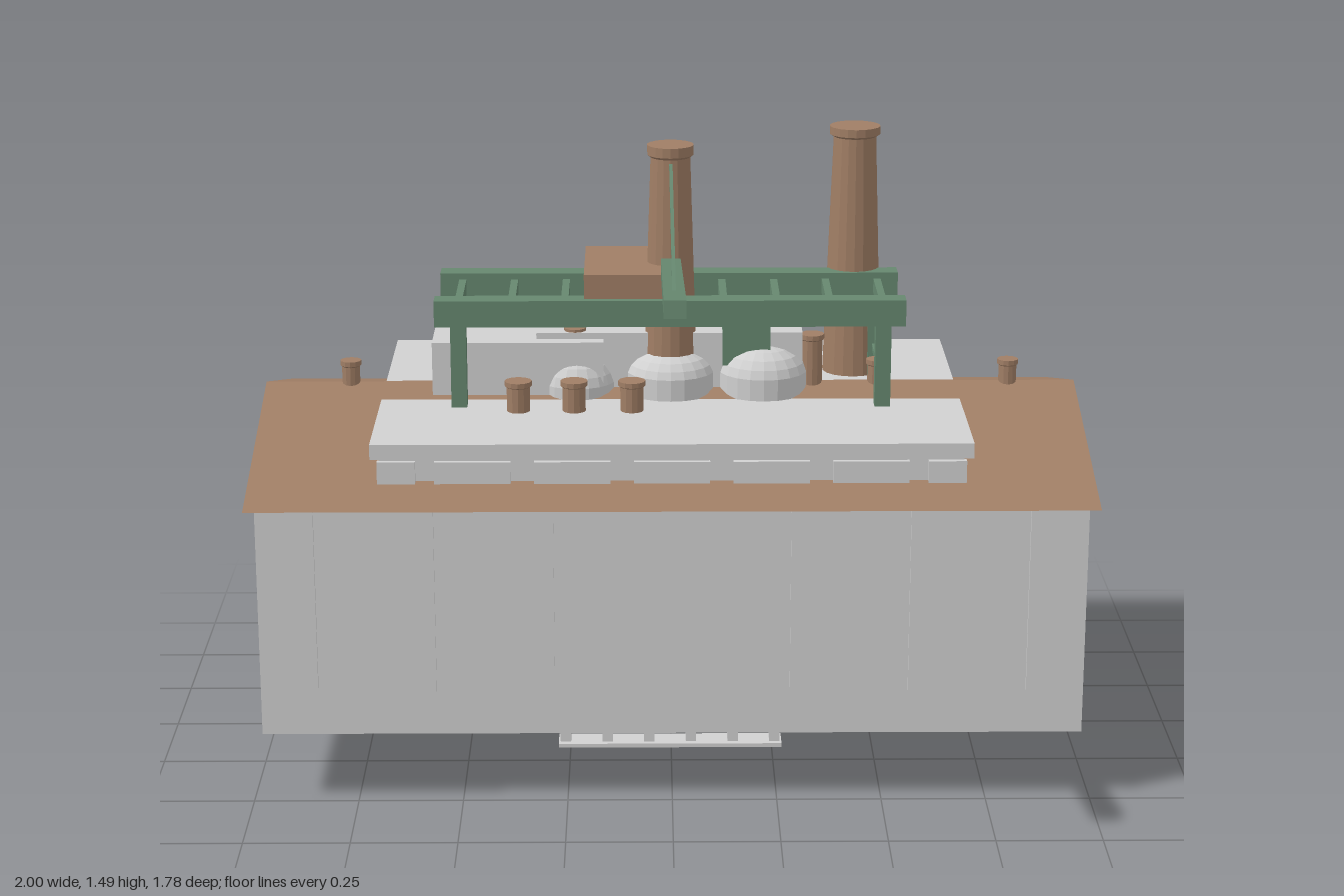
import * as THREE from 'three';

const brown = new THREE.MeshStandardMaterial({ color: 0xa07e65 });
brown.name = 'brown';
const grey = new THREE.MeshStandardMaterial({ color: 0xd0d0d0 });
grey.name = 'pale grey';
const green = new THREE.MeshStandardMaterial({ color: 0x66876f });
green.name = 'green';

export function createModel() {
  const group = new THREE.Group();
  const RIDGE = -0.31;

  const add = (name, geometry, material) => {
    const mesh = new THREE.Mesh(geometry, material);
    mesh.name = name;
    group.add(mesh);
    return mesh;
  };
  // Box given by its limits on each axis
  const box = (name, mat, x0, x1, y0, y1, z0, z1) => {
    const m = add(name, new THREE.BoxGeometry(x1 - x0, y1 - y0, z1 - z0), mat);
    m.position.set((x0 + x1) / 2, (y0 + y1) / 2, (z0 + z1) / 2);
    return m;
  };
  // Bar in the yz plane from one point to another
  const bar = (name, mat, x, y0, z0, y1, z1, w, h) => {
    const m = add(name, new THREE.BoxGeometry(w, h, Math.hypot(y1 - y0, z1 - z0)), mat);
    m.position.set(x, (y0 + y1) / 2, (z0 + z1) / 2);
    m.rotation.x = -Math.atan2(y1 - y0, z1 - z0);
    return m;
  };
  // Turned part from radius and height pairs
  const turned = (name, mat, x, z, profile, sides = 18) => {
    const points = profile.map(([r, y]) => new THREE.Vector2(r, y));
    const geometry = new THREE.LatheGeometry(points, sides).toNonIndexed();
    geometry.computeVertexNormals();
    const m = add(name, geometry, mat);
    m.position.set(x, 0, z);
    return m;
  };

  // Main hall with thin ribs on the front wall
  box('hall', grey, -0.975, 0.975, 0.17, 0.73, -0.865, 0.245);
  for (let i = -3; i <= 3; i++) {
    box('wallRib', grey, i * 0.28 - 0.002, i * 0.28 + 0.002, 0.28, 0.73, 0.24, 0.254);
  }

  // Gable roof
  const gable = new THREE.Shape();
  gable.moveTo(-0.265, 0.73);
  gable.lineTo(0.89, 0.73);
  gable.lineTo(-RIDGE, 0.885);
  gable.closePath();
  const roofGeometry = new THREE.ExtrudeGeometry(gable, { depth: 2, bevelEnabled: false });
  roofGeometry.rotateY(Math.PI / 2);
  roofGeometry.translate(-1, 0, 0);
  add('roof', roofGeometry, brown);

  // Roof deck with a panelled wall below it
  box('deck', grey, -0.71, 0.71, 0.825, 0.862, -0.79, 0.16);
  box('deckWall', grey, -0.69, 0.69, 0.74, 0.826, -0.77, 0.135);
  for (let i = -2; i <= 2; i++) {
    box('deckPanel', grey, i * 0.235 - 0.09, i * 0.235 + 0.09, 0.76, 0.815, 0.13, 0.148);
  }
  for (const s of [-1, 1]) {
    box('deckEndPanel', grey, s * 0.65 - 0.045, s * 0.65 + 0.045, 0.76, 0.815, 0.13, 0.148);
  }

  // Large chimney and crane chimney
  turned('tallChimney', brown, 0.46, -0.5, [[0, 0.78], [0.076, 0.78], [0.074, 0.86], [0.053, 1.462], [0.063, 1.468], [0.063, 1.488], [0, 1.488]]);
  turned('midChimney', brown, 0, RIDGE, [[0, 0.85], [0.068, 0.85], [0.049, 1.45], [0.057, 1.456], [0.057, 1.48], [0, 1.48]]);

  // Roof vents
  const vent = (x, z, r, top) => turned('vent', brown, x, z,
    [[0, 0.82], [r * 0.85, 0.82], [r * 0.85, top - 0.015], [r, top - 0.012], [r, top], [0, top]], 12);
  for (const x of [-0.79, 0.51, 0.835]) vent(x, RIDGE, 0.026, 0.94);
  for (const x of [-0.37, -0.235, -0.095]) vent(x, -0.127, 0.033, 0.937);
  vent(0.23, -0.475, 0.038, 1.02);
  vent(-0.235, RIDGE, 0.027, 1.022);
  vent(0.35, RIDGE, 0.03, 1.005);

  // Domed tanks and plant boxes
  for (const [x, r, drum, top] of [[-0.23, 0.095, 0.89, 0.965], [0, 0.11, 0.915, 0.975], [0.228, 0.11, 0.915, 0.985]]) {
    const profile = [[r, 0.855], [r, drum]];
    for (let i = 1; i <= 5; i++) {
      const a = (i / 5) * Math.PI / 2;
      profile.push([r * Math.cos(a) * 0.97, drum + (top - drum) * Math.sin(a)]);
    }
    turned('dome', grey, x, RIDGE, profile, 20);
  }
  box('plantBox', grey, -0.585, -0.165, 0.85, 1.0, -0.57, -0.245);
  box('ductBox', grey, -0.33, 0.325, 0.85, 1.015, -0.355, -0.28);

  // Crane gantry
  const beams = [[-0.484, -0.427], [-0.202, -0.147]];
  for (const [z0, z1] of beams) {
    box('gantryBeam', green, -0.572, 0.568, 1.065, 1.13, z0, z1);
    for (const s of [-1, 1]) {
      box('gantryLeg', green, s * 0.515 - 0.019, s * 0.515 + 0.019, 0.82, 1.066, z0 + 0.008, z1 - 0.008);
    }
  }
  for (let i = -4; i <= 4; i++) {
    box('gantryJoist', green, i * 0.129 - 0.009, i * 0.129 + 0.009, 1.08, 1.115, -0.43, -0.2);
  }
  for (const s of [-1, 1]) {
    bar('gantryBrace', green, s * 0.515, 0.92, -0.18, 1.065, -0.45, 0.016, 0.02);
    box('gantryTie', green, s * 0.515 - 0.008, s * 0.515 + 0.008, 0.93, 0.945, -0.455, -0.175);
  }
  box('cab', green, 0.128, 0.245, 0.937, 1.045, -0.37, -0.263);

  // Crane house, boom and stay
  box('craneHouse', brown, -0.21, 0.022, 1.13, 1.19, -0.467, -0.166);
  bar('boom', green, 0, 1.2, -0.21, 1.375, 0.888, 0.048, 0.038);
  bar('stay', green, 0, 1.455, -0.168, 1.345, 0.7, 0.008, 0.012);

  // Stepped plates under the hall
  box('footPlate', grey, -0.46, 0.46, 0.155, 0.172, -0.77, 0.15);
  box('footPlateSide', grey, -0.58, 0.58, 0.156, 0.172, -0.62, -0.28);
  box('footPlateSide', grey, -0.58, 0.58, 0.156, 0.172, -0.13, 0.03);
  box('footPlateInner', grey, -0.38, 0.38, 0.15, 0.158, -0.69, 0.06);

  // Entrance core, lintel with brown slots, and colonnade
  box('core', grey, -0.28, 0.275, 0.01, 0.155, -0.345, -0.272);
  box('lintel', grey, -0.28, 0.275, 0.085, 0.155, -0.085, -0.055);
  for (let i = -2; i <= 2; i++) {
    box('lintelSlot', brown, i * 0.113 - 0.009, i * 0.113 + 0.009, 0.09, 0.148, -0.056, -0.051);
  }
  box('colonnadeBase', grey, -0.28, 0.275, 0, 0.01, -0.15, -0.082);
  for (let i = 0; i < 6; i++) {
    const x = -0.2625 + i * 0.104;
    box('column', grey, x - 0.013, x + 0.013, 0.008, 0.155, -0.135, -0.097);
  }
  return group;
}
